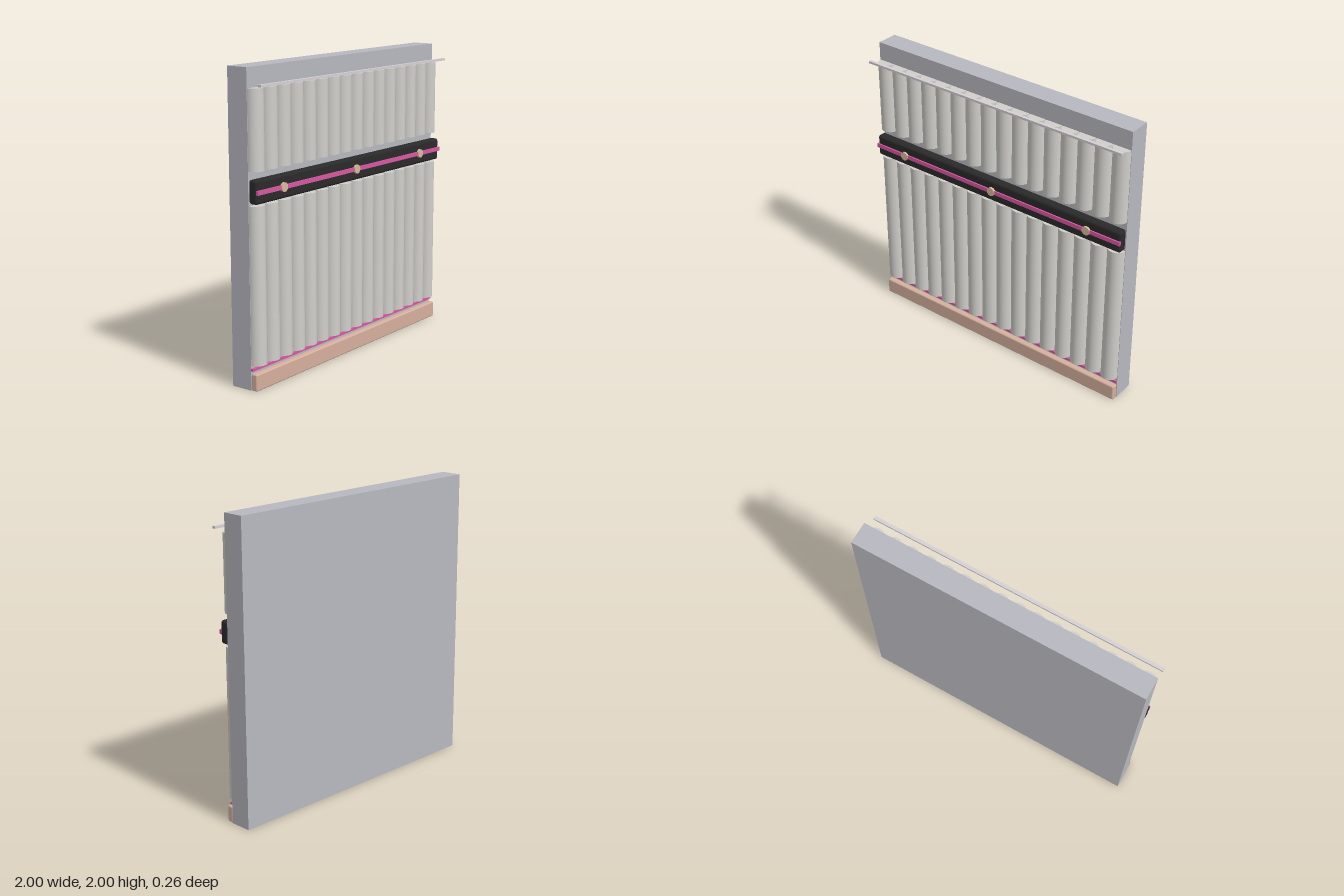
import * as THREE from 'three';
import { RoundedBoxGeometry } from 'three/addons/geometries/RoundedBoxGeometry.js';

const paint = (name, color) => {
  const m = new THREE.MeshStandardMaterial({ color });
  m.name = name;
  return m;
};

export function createModel() {
  const group = new THREE.Group();
  const wallGrey = paint('wallGrey', 0xb8b8c0);
  const fluteGrey = paint('fluteGrey', 0xd0cfca);
  const black = paint('railBlack', 0x2a2a2a);
  const pink = paint('neonPink', 0xd858a2);
  const blush = paint('blushTrim', 0xd6b09f);
  const brass = paint('studTan', 0xd9b99c);
  const pale = paint('paleStrip', 0xd6d0d4);

  const add = (name, geometry, material, x, y, z) => {
    const mesh = new THREE.Mesh(geometry, material);
    mesh.name = name;
    mesh.position.set(x, y, z);
    group.add(mesh);
    return mesh;
  };
  // Full-width bar given by its bottom, top, back and front; radius rounds the edges
  const bar = (name, material, y0, y1, z0, z1, radius = 0) => {
    const size = [2, y1 - y0, z1 - z0];
    const geometry = radius
      ? new RoundedBoxGeometry(...size, 2, radius)
      : new THREE.BoxGeometry(...size);
    add(name, geometry, material, 0, (y0 + y1) / 2, (z0 + z1) / 2);
  };

  const face = 0.02; // front of the wall slab
  bar('wallPanel', wallGrey, 0, 2, -0.13, face);

  // Two tiers of half-round flutes set against the wall
  const count = 16;
  const pitch = 2 / count;
  for (const [name, y0, y1] of [['lowerFlute', 0.16, 1.165], ['upperFlute', 1.375, 1.875]]) {
    const geometry = new THREE.CylinderGeometry(0.06, 0.06, y1 - y0, 24, 1, false, -Math.PI / 2, Math.PI);
    for (let i = 0; i < count; i++) {
      add(name, geometry, fluteGrey, -1 + pitch * (i + 0.5), (y0 + y1) / 2, face);
    }
  }

  // Middle rail with its bright inlay and round studs
  bar('rail', black, 1.178, 1.328, face, 0.085, 0.018);
  bar('railInlay', pink, 1.239, 1.267, 0.08, 0.095);
  const studShape = new THREE.CylinderGeometry(0.03, 0.03, 0.02, 12).rotateX(Math.PI / 2);
  for (const x of [-0.75, 0, 0.75]) add('railStud', studShape, brass, x, 1.253, 0.09);

  // Skirting and the glow line above it
  bar('baseboard', blush, 0, 0.11, face, 0.065, 0.01);
  bar('baseGlowLine', pink, 0.126, 0.142, face, 0.036);

  // Slim strip standing off in front of the top of the wall
  bar('topStrip', pale, 1.888, 1.903, 0.108, 0.13);

  return group;
}
